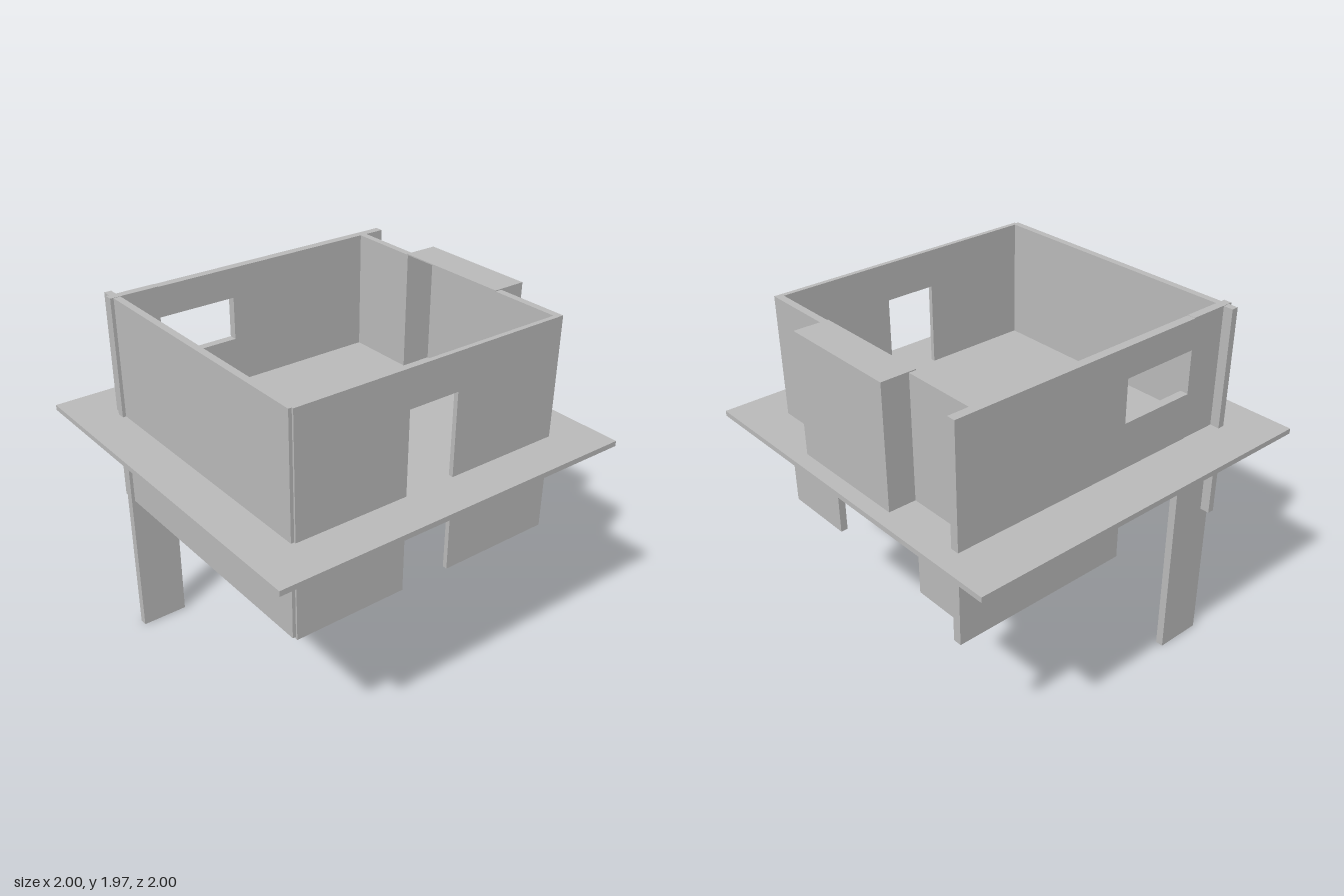
import * as THREE from 'three';

export function createModel() {
  const model = new THREE.Group();
  model.name = 'building';

  const plaster = new THREE.MeshStandardMaterial({ color: 0xbbbbbb });
  plaster.name = 'grey plaster';

  function add(name, geometry) {
    const mesh = new THREE.Mesh(geometry, plaster);
    mesh.name = name;
    model.add(mesh);
  }

  // Box given by its limits on each axis
  function block(name, [x0, x1], [y0, y1], [z0, z1]) {
    const geometry = new THREE.BoxGeometry(x1 - x0, y1 - y0, z1 - z0);
    geometry.translate((x0 + x1) / 2, (y0 + y1) / 2, (z0 + z1) / 2);
    add(name, geometry);
  }

  // Side wall: an outline of [z, y] points, extruded across x
  function sideWall(name, [x0, x1], outline) {
    const shape = new THREE.Shape(outline.map(([z, y]) => new THREE.Vector2(z, y)));
    const geometry = new THREE.ExtrudeGeometry(shape, { depth: x1 - x0, bevelEnabled: false });
    geometry.rotateY(-Math.PI / 2);
    geometry.translate(x1, 0, 0);
    add(name, geometry);
  }

  const top = 1.96;

  // Floor slab
  block('floorSlab', [-1, 1], [1.297, 1.325], [-1, 1]);

  // Front wall and the tall corner post
  block('frontWall', [-0.765, 0.76], [0.82, top], [0.735, 0.772]);
  block('cornerPost', [-0.713, -0.67], [0, top + 0.002], [0.53, 0.79]);

  // Wall with the doorway
  sideWall('doorWall', [0.745, 0.77], [
    [-0.775, 0.808], [-0.135, 0.808], [-0.135, 1.762], [0.145, 1.762],
    [0.145, 0.808], [0.755, 0.808], [0.755, top], [-0.775, top],
  ]);

  // Wall with the window and the gap below; both end at the corner post
  sideWall('windowWall', [-0.715, -0.67], [
    [-0.885, 0.825], [0.1, 0.825], [0.1, 1.07], [0.53, 1.07], [0.53, 1.57],
    [0.1, 1.57], [0.1, 1.8], [0.53, 1.8], [0.53, top], [-0.885, top],
  ]);

  // Back wall in two pieces, leaving room for the alcove
  const bay = [-0.283, 0.37];
  block('backWallRight', [-0.67, bay[0]], [0.805, top], [-0.775, -0.737]);
  block('backWallLeft', [bay[1], 0.768], [0.805, top], [-0.775, -0.737]);

  // Alcove of thin panels, open towards the room
  const t = 0.006;
  const bayY = [1.29, 1.965];
  const bayZ = [-0.92, -0.737];
  block('alcoveBack', bay, bayY, [bayZ[0], bayZ[0] + t]);
  block('alcoveRoof', bay, [bayY[1] - t, bayY[1]], bayZ);
  block('alcoveBase', bay, [bayY[0], bayY[0] + t], bayZ);
  block('alcoveSideRight', [bay[0], bay[0] + t], bayY, bayZ);
  block('alcoveSideLeft', [bay[1] - t, bay[1]], bayY, bayZ);

  return model;
}
